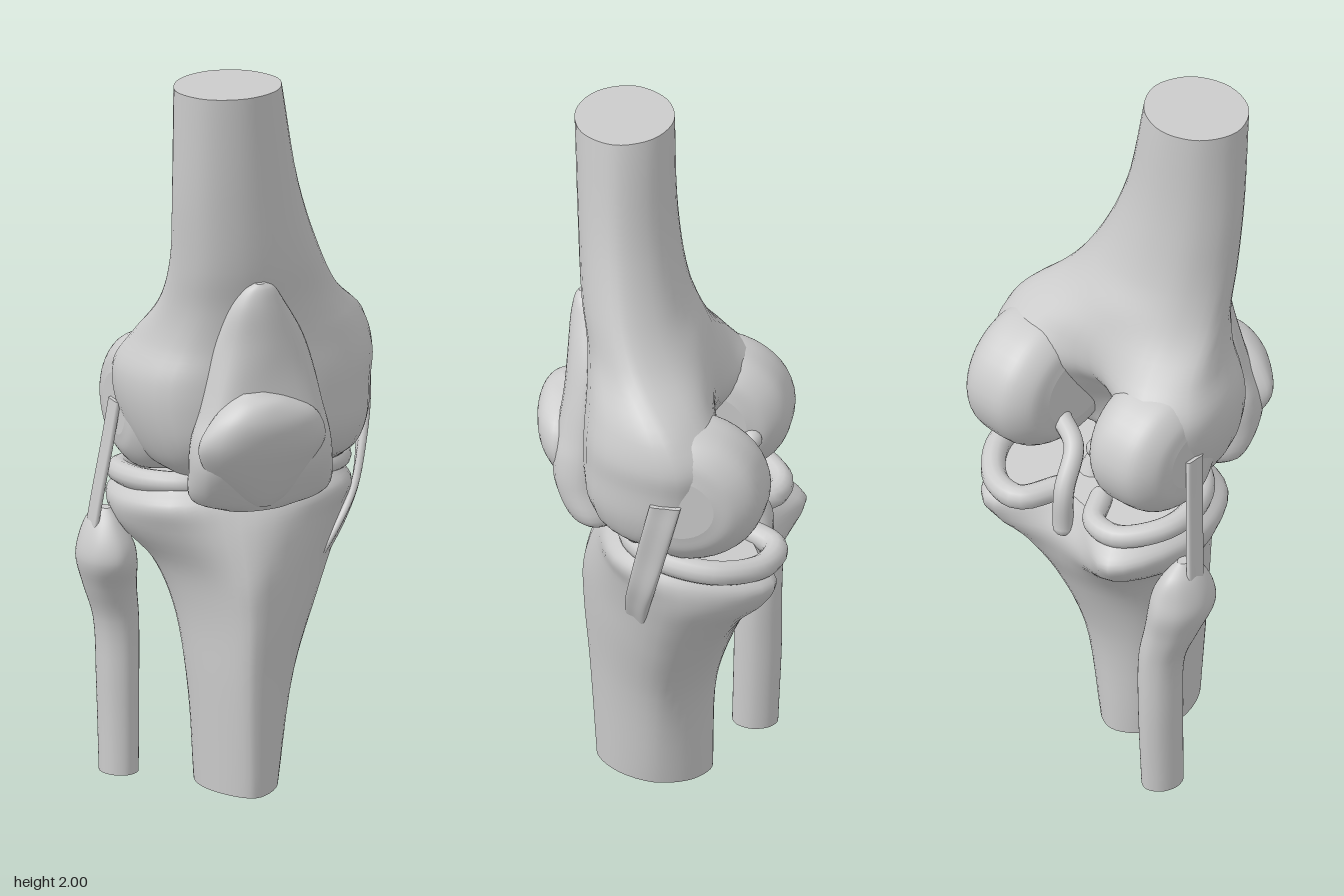
import * as THREE from 'three';

const material = new THREE.MeshStandardMaterial({ color: 0xcccccc, side: THREE.DoubleSide });
const AROUND = 40, STEPS = 5;
const V = (x, y, z) => new THREE.Vector3(x, y, z);
const lerp = THREE.MathUtils.lerp;

function addMesh(parent, name, geometry) {
  const mesh = new THREE.Mesh(geometry, material);
  mesh.name = name;
  parent.add(mesh);
  return mesh;
}

// Smooth skin through closed rings of control points, with flat end caps
function loft(rings) {
  const smooth = rings.map((r) => {
    const curve = new THREE.CatmullRomCurve3(r, true);
    return Array.from({ length: AROUND }, (_, i) => curve.getPoint(i / AROUND));
  });
  const columns = Array.from({ length: AROUND }, (_, i) =>
    new THREE.CatmullRomCurve3(smooth.map((r) => r[i])).getPoints((rings.length - 1) * STEPS));
  const rows = columns[0].length;
  const points = [], index = [];
  for (let j = 0; j < rows; j++) for (let i = 0; i < AROUND; i++) points.push(columns[i][j]);
  for (let j = 0; j < rows - 1; j++) {
    for (let i = 0; i < AROUND; i++) {
      const n = (i + 1) % AROUND;
      const a = j * AROUND + i, b = j * AROUND + n;
      index.push(a, b, b + AROUND, a, b + AROUND, a + AROUND);
    }
  }
  for (const end of [0, rows - 1]) {
    const start = points.length;
    const centre = V(0, 0, 0);
    for (let i = 0; i < AROUND; i++) {
      points.push(columns[i][end].clone());
      centre.addScaledVector(columns[i][end], 1 / AROUND);
    }
    points.push(centre);
    for (let i = 0; i < AROUND; i++) {
      const a = start + i, b = start + (i + 1) % AROUND;
      if (end) index.push(a, b, start + AROUND);
      else index.push(b, a, start + AROUND);
    }
  }
  const geometry = new THREE.BufferGeometry().setFromPoints(points);
  geometry.setIndex(index);
  geometry.computeVertexNormals();
  return geometry;
}

// Horizontal section: extents, depth of a groove at the back, x of the front
// ridge, z of the widest line, fullness of the front corners, slope along z
function section([y, x0, x1, z0, z1, groove = 0, fx = (x0 + x1) / 2, zs = (z0 + z1) / 2, k = 0.71, tilt = 0]) {
  const bx = (x0 + x1) / 2;
  const lobe = 0.71 + Math.min(0.27, groove * 3);
  const p = (x, z) => V(x, y + tilt * z, z);
  return [
    p(fx, z1), p(lerp(fx, x1, k), lerp(zs, z1, k)), p(x1, zs),
    p(lerp(bx, x1, 0.68), lerp(zs, z0, lobe)), p(bx, z0 + groove),
    p(lerp(bx, x0, 0.68), lerp(zs, z0, lobe)), p(x0, zs),
    p(lerp(fx, x0, k), lerp(zs, z1, k)),
  ];
}
const stack = (rows) => loft(rows.map(section));

// Condyle: upright ovals strung along x, rounded at both ends; the front
// reach shrinks towards the outer side
function condyle(x0, x1, y, z, ry, back, frontIn, frontOut) {
  return loft([[0, 0.5], [0.06, 0.76], [0.25, 0.97], [0.5, 1], [0.78, 0.94], [0.95, 0.7], [1, 0.45]].map(([t, s]) =>
    Array.from({ length: 12 }, (_, i) => {
      const a = (i / 12) * Math.PI * 2;
      const reach = Math.sin(a) > 0 ? lerp(frontIn, frontOut, t) : back;
      return V(lerp(x0, x1, t), y + Math.cos(a) * ry * s, z + Math.sin(a) * reach * s);
    })));
}

// Round cord with rounded ends
function cord(parent, name, radius, points) {
  const group = new THREE.Group();
  group.name = name;
  const path = points.map((p) => V(...p));
  addMesh(group, name + 'Body', new THREE.TubeGeometry(new THREE.CatmullRomCurve3(path), 36, radius, 12));
  for (const p of [path[0], path[path.length - 1]])
    addMesh(group, name + 'End', new THREE.SphereGeometry(radius, 12, 8)).position.copy(p);
  parent.add(group);
}

// Thin flat strap: each row is y, x, z of its middle line and its turn about y
function strap(rows, thickness, width) {
  return loft(rows.map(([y, x, z, turn]) =>
    [[0, 1], [0.9, 0.9], [1, 0], [0.9, -0.9], [0, -1], [-0.9, -0.9], [-1, 0], [-0.9, 0.9]].map(([u, w]) =>
      V(u * thickness / 2, 0, w * width / 2).applyAxisAngle(V(0, 1, 0), turn).add(V(x, y, z)))));
}

export function createModel() {
  const model = new THREE.Group();
  model.name = 'kneeJoint';

  // Thigh bone: shaft flaring into the joint
  const femur = new THREE.Group();
  femur.name = 'femur';
  model.add(femur);
  addMesh(femur, 'femurShaft', stack([
    [0.89, -0.2, 0.29, -0.02, 0.1, 0.03, -0.02, 0.03, 0.8],
    [0.93, -0.255, 0.345, -0.08, 0.16, 0.1, -0.03, -0.03, 0.8],
    [1, -0.295, 0.375, -0.15, 0.2, 0.15, -0.04, -0.08, 0.8],
    [1.1, -0.325, 0.39, -0.21, 0.21, 0.14, -0.05, -0.1, 0.79],
    [1.18, -0.325, 0.4, -0.22, 0.21, 0.09, -0.05, -0.1, 0.78],
    [1.27, -0.285, 0.37, -0.17, 0.21, 0.03, -0.05, -0.06, 0.75],
    [1.38, -0.25, 0.26, -0.11, 0.22, 0, -0.06, 0.04],
    [1.5, -0.24, 0.19, -0.055, 0.24, 0, -0.07, 0.09],
    [1.7, -0.245, 0.115, -0.015, 0.255, 0, -0.08, 0.12],
    [2, -0.245, 0.055, 0, 0.27],
  ]));
  addMesh(femur, 'medialCondyle', condyle(0.12, 0.385, 1.07, -0.1, 0.2, 0.225, 0.24, 0.12));
  // Built on +x, then flipped in x
  const lateral = condyle(0.06, 0.315, 1.06, -0.1, 0.19, 0.21, 0.24, 0.12);
  addMesh(femur, 'lateralCondyle', lateral).scale.x = -1;

  // Shin bone with a grooved, back-sloping plateau
  const tibia = new THREE.Group();
  tibia.name = 'tibia';
  model.add(tibia);
  addMesh(tibia, 'tibiaShaft', stack([
    [0, -0.13, 0.09, -0.12, 0.2, 0, -0.04, 0.02, 0.66],
    [0.3, -0.15, 0.15, -0.135, 0.22, 0, -0.05, 0, 0.64],
    [0.5, -0.175, 0.24, -0.2, 0.235, 0, -0.05, -0.04, 0.62],
    [0.62, -0.22, 0.3, -0.275, 0.235, 0.02, -0.05, -0.07, 0.62],
    [0.73, -0.305, 0.345, -0.335, 0.2, 0.06, -0.04, -0.1, 0.68, 0.08],
    [0.8, -0.32, 0.35, -0.345, 0.16, 0.1, -0.02, -0.1, 0.76, 0.1],
    [0.845, -0.285, 0.325, -0.3, 0.12, 0.08, 0, -0.1, 0.77, 0.1],
  ]));
  // Twin spines between the joint surfaces
  for (const x of [-0.02, 0.06])
    addMesh(tibia, 'tibialSpine', new THREE.ConeGeometry(0.045, 0.09, 16)).position.set(x, 0.87, -0.1);

  addMesh(model, 'fibula', stack([
    [0, -0.325, -0.22, -0.25, -0.125],
    [0.25, -0.33, -0.215, -0.26, -0.13],
    [0.43, -0.34, -0.215, -0.26, -0.13],
    [0.53, -0.375, -0.23, -0.26, -0.1],
    [0.61, -0.4, -0.24, -0.265, -0.06],
    [0.66, -0.395, -0.25, -0.255, -0.065],
    [0.72, -0.37, -0.285, -0.23, -0.1],
    [0.755, -0.34, -0.31, -0.18, -0.14],
  ]));

  // Pad behind the kneecap, tapering up the thigh bone
  addMesh(model, 'kneePad', stack([
    [0.82, -0.13, 0.07, 0.12, 0.23, 0, -0.03, 0.18],
    [0.855, -0.215, 0.18, 0.06, 0.25, 0, -0.03, 0.17, 0.8],
    [0.95, -0.235, 0.175, 0.08, 0.29, 0, -0.04, 0.2, 0.84],
    [1.03, -0.23, 0.165, 0.1, 0.295, 0, -0.04, 0.2, 0.84],
    [1.1, -0.205, 0.15, 0.1, 0.29, 0, -0.04, 0.2, 0.8],
    [1.2, -0.178, 0.128, 0.1, 0.28, 0, -0.04, 0.2, 0.75],
    [1.3, -0.152, 0.095, 0.12, 0.275],
    [1.4, -0.118, 0.035, 0.16, 0.27],
    [1.45, -0.085, 0, 0.19, 0.26],
    [1.465, -0.06, -0.03, 0.22, 0.25],
  ]));

  addMesh(model, 'kneecap', stack([
    [0.835, -0.06, 0, 0.21, 0.245],
    [0.87, -0.12, 0.05, 0.2, 0.27],
    [0.95, -0.205, 0.1, 0.2, 0.315],
    [1.03, -0.24, 0.13, 0.2, 0.35],
    [1.1, -0.205, 0.105, 0.2, 0.36, 0, -0.07],
    [1.15, -0.15, 0.02, 0.22, 0.34],
    [1.172, -0.11, -0.05, 0.25, 0.3],
  ]));

  // C-shaped cushions on the plateau
  cord(model, 'medialMeniscus', 0.034, [
    [0.09, 0.865, 0.03], [0.21, 0.87, 0.06], [0.305, 0.86, -0.03], [0.32, 0.84, -0.19],
    [0.23, 0.82, -0.305], [0.13, 0.82, -0.32], [0.07, 0.83, -0.22],
  ]);
  cord(model, 'lateralMeniscus', 0.032, [
    [-0.05, 0.865, 0.03], [-0.17, 0.865, 0.06], [-0.265, 0.86, -0.03], [-0.28, 0.85, -0.17],
    [-0.19, 0.83, -0.275], [-0.1, 0.83, -0.27], [-0.05, 0.84, -0.19],
  ]);

  // Ligaments crossing in the notch
  cord(model, 'anteriorCruciateLigament', 0.028, [[-0.06, 1.03, -0.22], [-0.01, 0.96, -0.14], [0.06, 0.85, 0]]);
  cord(model, 'posteriorCruciateLigament', 0.028, [
    [0.13, 0.99, -0.15], [0.05, 0.96, -0.19], [0.02, 0.87, -0.26], [0.02, 0.75, -0.265],
  ]);

  // Straps on either side
  addMesh(model, 'medialCollateralLigament', strap([
    [0.57, 0.195, 0.045, -0.75], [0.68, 0.275, 0.03, -0.65], [0.78, 0.335, 0.005, -0.5],
    [0.9, 0.368, -0.025, -0.3], [1, 0.386, -0.05, -0.15], [1.08, 0.39, -0.07, 0],
  ], 0.02, 0.085));
  addMesh(model, 'lateralCollateralLigament', strap([
    [0.67, -0.368, -0.16, 0], [0.8, -0.352, -0.145, 0], [0.95, -0.332, -0.125, 0], [1.07, -0.318, -0.11, 0],
  ], 0.014, 0.06));

  return model;
}
